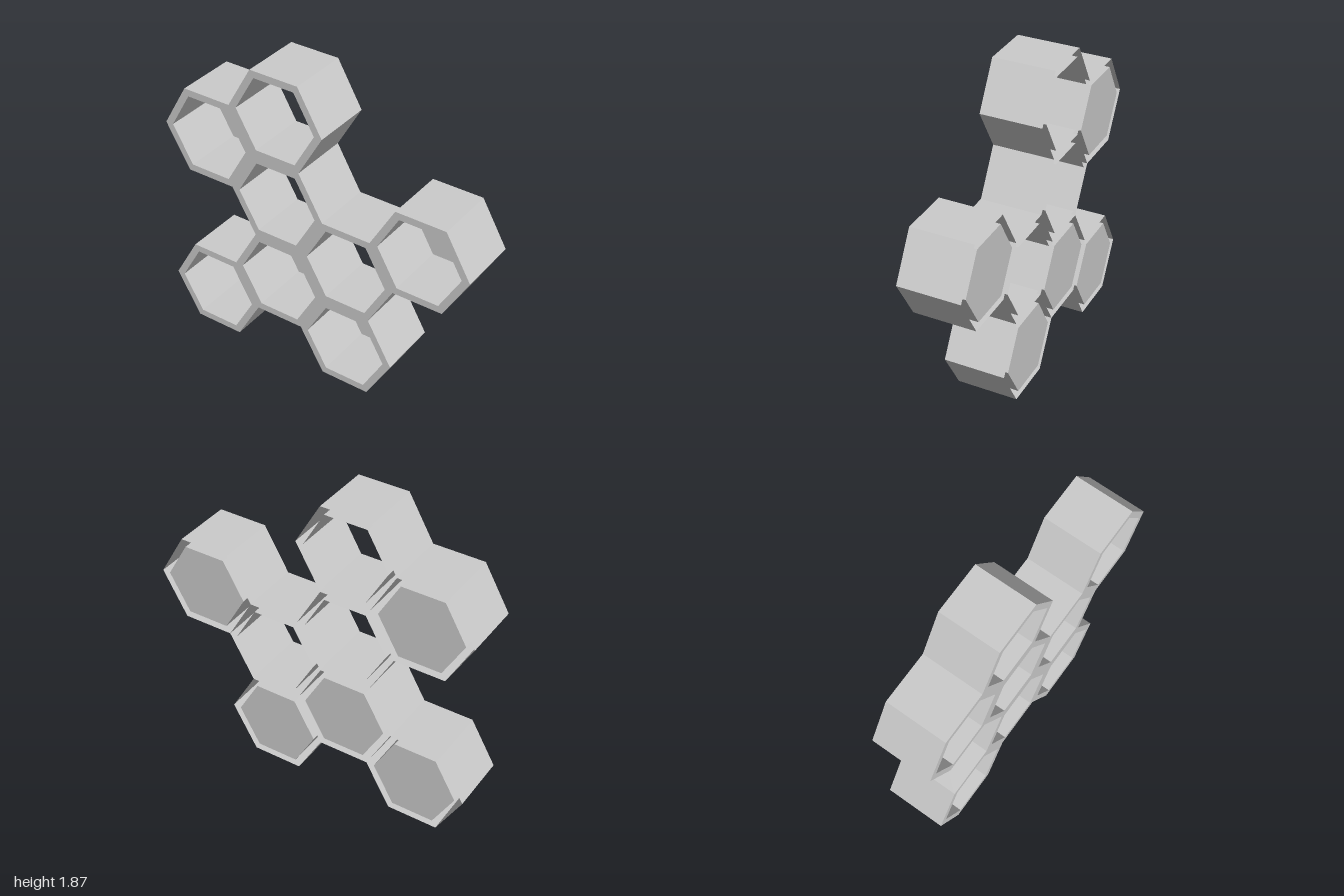
import * as THREE from 'three';

const R = 2 / 6.5;                  // outer hexagon corner radius
const A = R * Math.sqrt(3) / 2;     // centre to flat side
const RI = R * 0.84;                // opening corner radius
const D = 0.37;                     // depth

const mat = new THREE.MeshStandardMaterial({ color: 0xcccccc, flatShading: true, side: THREE.DoubleSide });

const corners = (r) => Array.from({ length: 6 }, (_, i) =>
  new THREE.Vector2(Math.cos(i * Math.PI / 3) * r, Math.sin(i * Math.PI / 3) * r));

// open hexagonal tube along z, with corners on the x axis
function hexTube(r) {
  return new THREE.CylinderGeometry(r, r, D, 6, 1, true).rotateX(Math.PI / 2).rotateZ(Math.PI / 2 * 1);
}

function add(group, name, geometry, z = 0) {
  const mesh = new THREE.Mesh(geometry, mat);
  mesh.name = name;
  mesh.position.z = z;
  group.add(mesh);
}

// column, height of centre in half-cell steps, closed back
const cells = [
  [-1.5, 1, true], [-1.5, 5, true],
  [-0.5, 2, true], [-0.5, 4, false], [-0.5, 6, false],
  [0.5, 1, true], [0.5, 3, false],
  [1.5, 4, true],
];

export function createModel() {
  const model = new THREE.Group();
  model.name = 'honeycombShelf';

  const rimShape = new THREE.Shape(corners(R));
  rimShape.holes.push(new THREE.Path(corners(RI).reverse()));
  const rim = new THREE.ShapeGeometry(rimShape);
  const panel = new THREE.ShapeGeometry(new THREE.Shape(corners(RI))).rotateY(Math.PI);
  const outer = hexTube(R);
  const inner = hexTube(RI);

  for (const [col, row, closed] of cells) {
    const cell = new THREE.Group();
    cell.name = closed ? 'closedCell' : 'openCell';
    cell.position.set(col * 1.5 * R, row * A, 0);
    // double wall joined by a front rim, hollow at the back
    add(cell, 'outerWall', outer);
    add(cell, 'innerWall', inner);
    add(cell, 'frontRim', rim, D / 2);
    if (closed) add(cell, 'backPanel', panel, -D / 2);
    model.add(cell);
  }
  return model;
}
